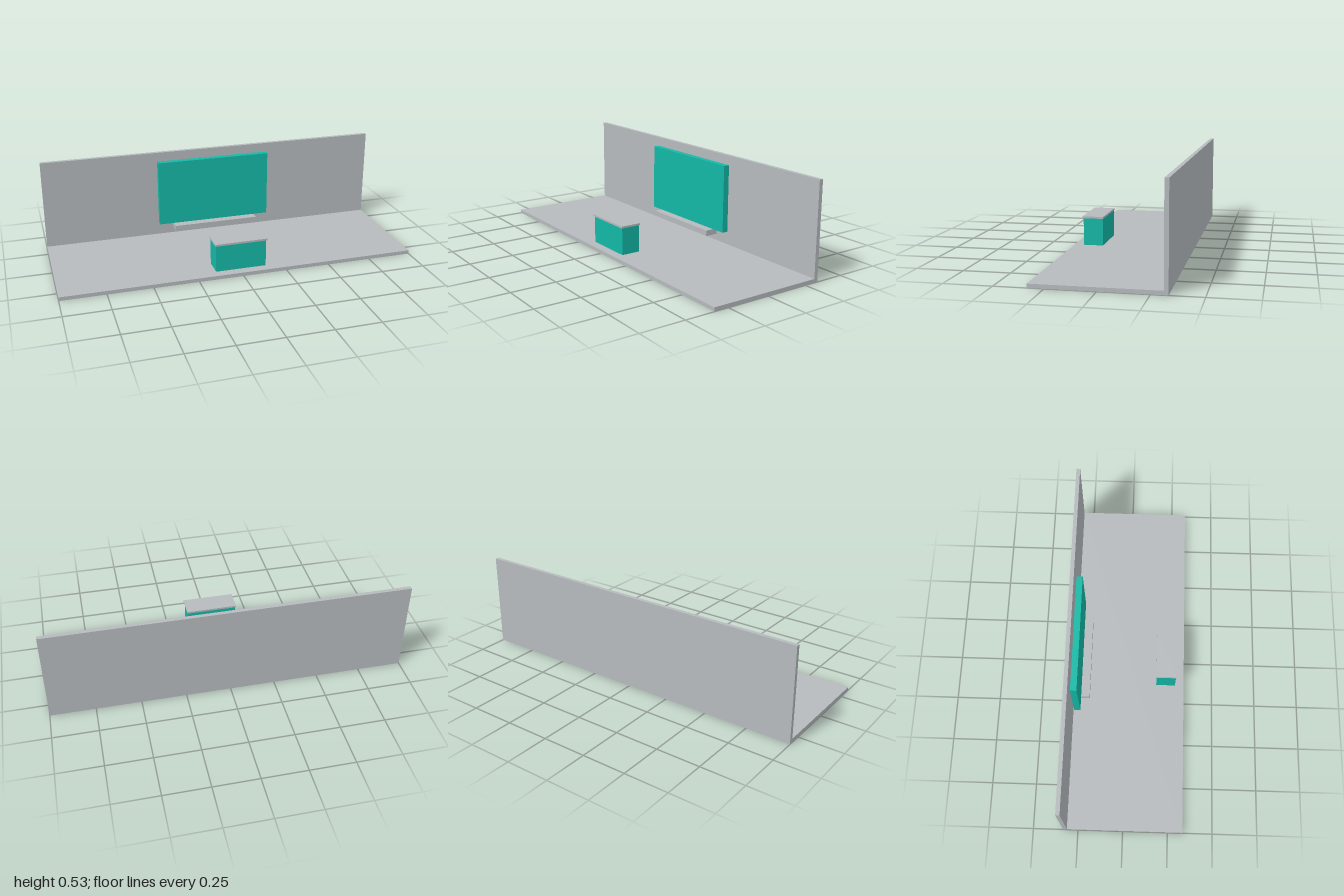
import * as THREE from 'three';

export function createModel() {
  const group = new THREE.Group();
  const grey = new THREE.MeshStandardMaterial({ color: 0xb6babd });
  grey.name = 'pale grey';
  const teal = new THREE.MeshStandardMaterial({ color: 0x14b8a6 });
  teal.name = 'teal';

  // Box centred on x, given by its width and its y and z ranges
  const addBox = (name, material, width, [y0, y1], [z0, z1]) => {
    const mesh = new THREE.Mesh(new THREE.BoxGeometry(width, y1 - y0, z1 - z0), material);
    mesh.name = name;
    mesh.position.set(0, (y0 + y1) / 2, (z0 + z1) / 2);
    group.add(mesh);
  };

  // Room shell
  addBox('floor', grey, 2, [0, 0.021], [-0.311, 0.333]);
  addBox('backWall', grey, 2, [0, 0.534], [-0.333, -0.311]);

  // Display panel floating just off the wall, with its ledge
  addBox('displayPanel', teal, 0.668, [0.1, 0.484], [-0.3, -0.265]);
  addBox('ledge', grey, 0.5, [0.068, 0.1], [-0.29, -0.216]);

  // Counter with an overhanging top
  addBox('counterBody', teal, 0.286, [0.01, 0.174], [0.171, 0.281]);
  addBox('counterTop', grey, 0.296, [0.174, 0.185], [0.167, 0.287]);

  return group;
}
